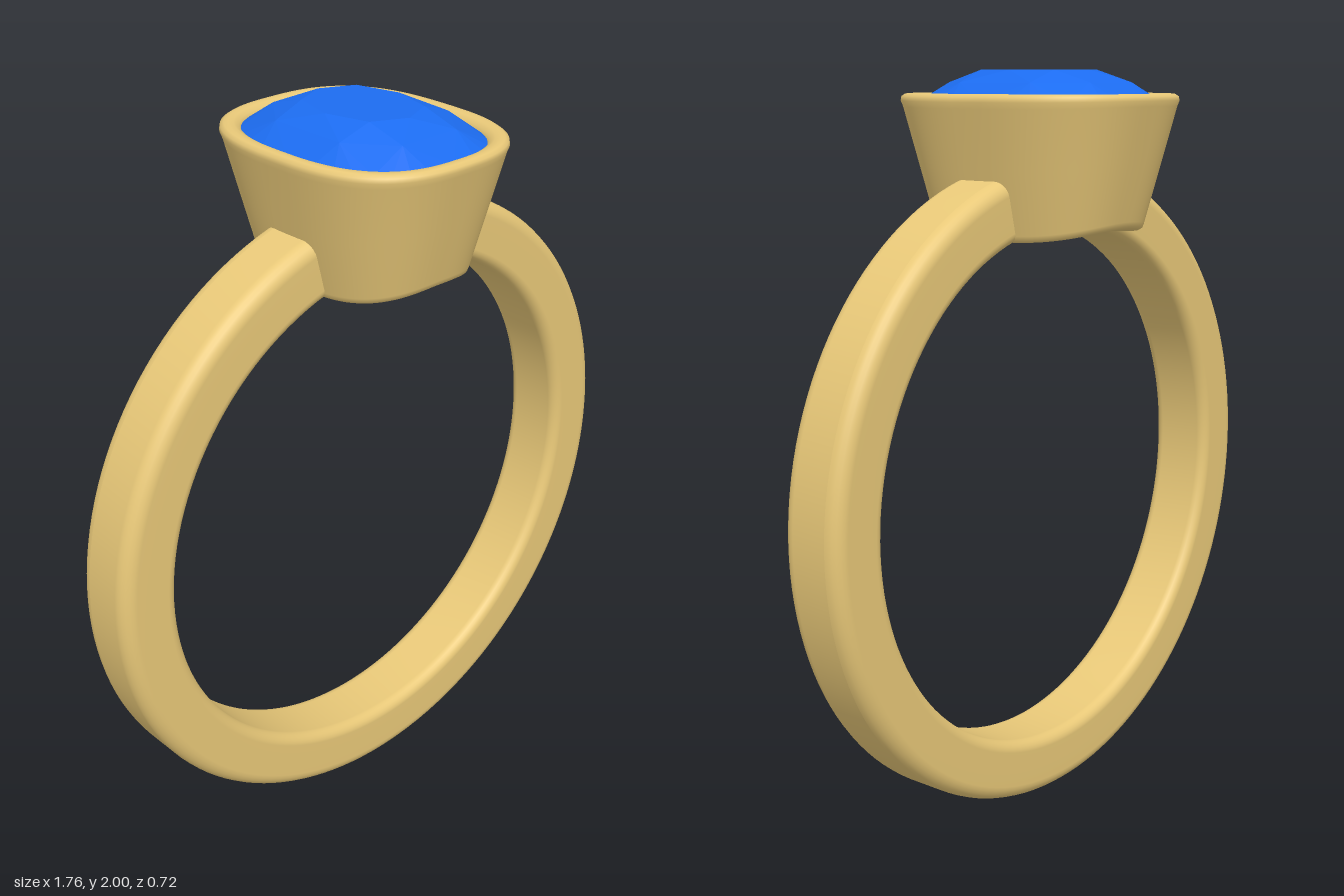
import * as THREE from 'three';
import { ConvexGeometry } from 'three/addons/geometries/ConvexGeometry.js';

const CENTRE = 0.88, OUTER = 0.88, INNER = 0.715, HALF_WIDTH = 0.093;
const BEZEL_TOP = 1.94;

// Point on a cushion (rounded oblong) outline
function cushion(hx, hz, angle, n = 2.7) {
  const c = Math.cos(angle), s = Math.sin(angle), e = 2 / n;
  return [hx * Math.sign(c) * Math.abs(c) ** e, hz * Math.sign(s) * Math.abs(s) ** e];
}

// Band: softened rectangular section swept round, open under the setting
function bandGeometry() {
  const pts = [];
  const corner = (x, y, r, start) => {
    for (let i = 0; i <= 6; i++) {
      const a = start + (i / 6) * Math.PI / 2;
      pts.push(new THREE.Vector2(x + r * Math.cos(a), y + r * Math.sin(a)));
    }
  };
  const ro = 0.04, ri = 0.03;
  corner(OUTER - ro, HALF_WIDTH - ro, ro, 0);
  corner(INNER + ri, HALF_WIDTH - ri, ri, Math.PI / 2);
  corner(INNER + ri, -HALF_WIDTH + ri, ri, Math.PI);
  corner(OUTER - ro, -HALF_WIDTH + ro, ro, 1.5 * Math.PI);
  pts.push(pts[0].clone());
  const gap = 0.24;
  const geo = new THREE.LatheGeometry(pts, 128, gap, 2 * Math.PI - 2 * gap);
  return geo.rotateX(-Math.PI / 2).translate(0, CENTRE, 0);
}

// Bezel: closed profile of [half x, half z, height fraction] lofted round the
// cushion outline; its underside follows the finger hole
function bezelGeometry() {
  const profile = [
    [0.120, 0.165, 0.03], [0.130, 0.177, 0.005], [0.140, 0.190, 0], [0.195, 0.250, 0],
    [0.207, 0.267, 0.006], [0.214, 0.277, 0.025], [0.218, 0.281, 0.06],
    [0.256, 0.320, 0.5], [0.293, 0.357, 0.91], [0.299, 0.362, 0.95],
    [0.297, 0.360, 0.98], [0.288, 0.351, 0.997], [0.278, 0.341, 1],
    [0.265, 0.328, 0.995], [0.252, 0.316, 0.975], [0.246, 0.310, 0.94],
    [0.240, 0.304, 0.85], [0.195, 0.255, 0.45], [0.130, 0.177, 0.12],
  ];
  const seg = 96, rows = profile.length, pos = [], idx = [];
  for (const [hx, hz, v] of profile) {
    for (let j = 0; j < seg; j++) {
      const [x, z] = cushion(hx, hz, (j / seg) * 2 * Math.PI);
      const base = CENTRE + Math.sqrt(INNER * INNER - x * x);
      pos.push(x, base + (BEZEL_TOP - base) * v, z);
    }
  }
  for (let i = 0; i < rows; i++) {
    const up = (i + 1) % rows;
    for (let j = 0; j < seg; j++) {
      const k = (j + 1) % seg;
      const a = i * seg + j, b = up * seg + j, c = up * seg + k, d = i * seg + k;
      idx.push(a, b, d, b, c, d);
    }
  }
  const geo = new THREE.BufferGeometry();
  geo.setAttribute('position', new THREE.Float32BufferAttribute(pos, 3));
  geo.setIndex(idx);
  geo.computeVertexNormals();
  return geo;
}

// Gemstone: flat table, two crown tiers, girdle and pavilion, all faceted
function gemGeometry() {
  const pts = [new THREE.Vector3(0, 1.69, 0)];
  const tier = (hx, hz, y, count, turn, n) => {
    for (let i = 0; i < count; i++) {
      const [x, z] = cushion(hx, hz, ((i + turn) / count) * 2 * Math.PI, n);
      pts.push(new THREE.Vector3(x, y, z));
    }
  };
  tier(0.125, 0.165, 2.0, 8, 0, 2.3);
  tier(0.195, 0.250, 1.968, 8, 0.5, 2.5);
  tier(0.250, 0.314, 1.922, 32, 0, 2.7);
  tier(0.246, 0.310, 1.9, 32, 0, 2.7);
  tier(0.150, 0.190, 1.79, 8, 0.5, 2.3);
  return new ConvexGeometry(pts);
}

export function createModel() {
  const group = new THREE.Group();
  group.name = 'ring';
  const gold = new THREE.MeshStandardMaterial({ color: 0xe8c878 });
  const blue = new THREE.MeshStandardMaterial({ color: 0x1c6cf0 });
  const add = (name, geometry, material) => {
    const mesh = new THREE.Mesh(geometry, material);
    mesh.name = name;
    group.add(mesh);
  };
  add('band', bandGeometry(), gold);
  add('bezel', bezelGeometry(), gold);
  add('gemstone', gemGeometry(), blue);
  return group;
}
